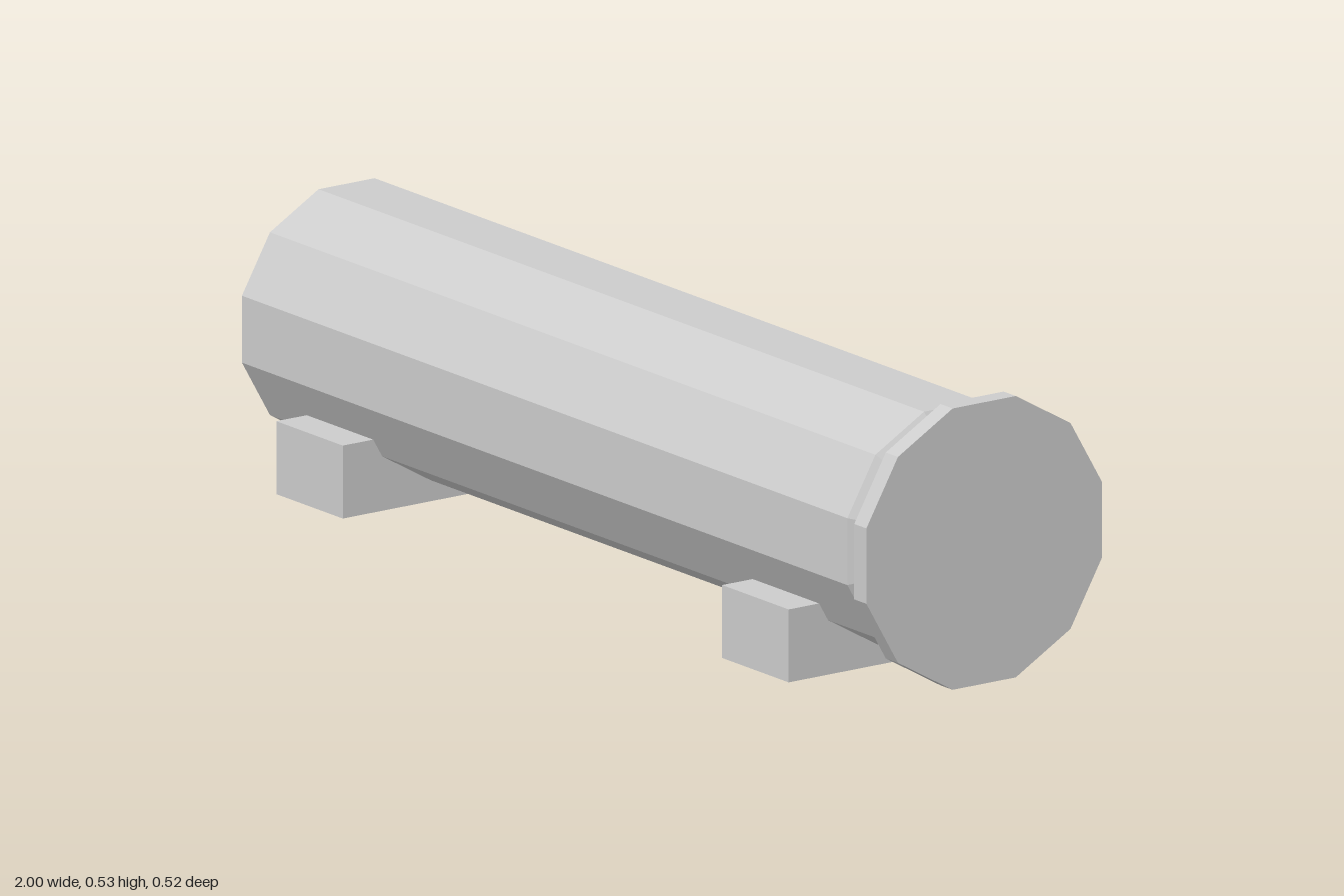
import * as THREE from 'three';

const AXIS_Y = 0.272; // height of the tank's centre line
const SIDES = 12;

// Faceted solid turned about the x axis; profile is [x, radius], flats face up and down
function turned(name, profile, material) {
  const points = profile.map(([x, r]) => new THREE.Vector2(r, x));
  const geometry = new THREE.LatheGeometry(points, SIDES, Math.PI / SIDES);
  geometry.rotateZ(-Math.PI / 2);
  const mesh = new THREE.Mesh(geometry, material);
  mesh.name = name;
  mesh.position.y = AXIS_Y;
  return mesh;
}

// Box support with an open underside
function supportBox(name, x, material) {
  const height = 0.136;
  const geometry = new THREE.BoxGeometry(0.202, height, 0.516);
  const index = Array.from(geometry.index.array);
  index.splice(18, 6); // drop the bottom face
  geometry.setIndex(index);
  geometry.clearGroups();
  const mesh = new THREE.Mesh(geometry, material);
  mesh.name = name;
  mesh.position.set(x, height / 2, 0);
  return mesh;
}

export function createModel() {
  const grey = new THREE.MeshStandardMaterial({ color: 0xcccccc });
  grey.name = 'light grey metal';
  grey.flatShading = true;
  grey.side = THREE.DoubleSide;

  const group = new THREE.Group();
  group.name = 'horizontalTank';

  // Tank body with tapered ends
  group.add(turned('tankBody', [
    [-1, 0], [-1, 0.148], [-0.938, 0.241], [0.902, 0.241], [0.963, 0.148], [0.963, 0],
  ], grey));

  // Wide end plate
  group.add(turned('endPlate', [
    [0.963, 0], [0.963, 0.2715], [1, 0.2715], [1, 0],
  ], grey));

  // Two supports under the tank
  group.add(supportBox('rightSupport', -0.698, grey));
  group.add(supportBox('leftSupport', 0.657, grey));

  return group;
}
